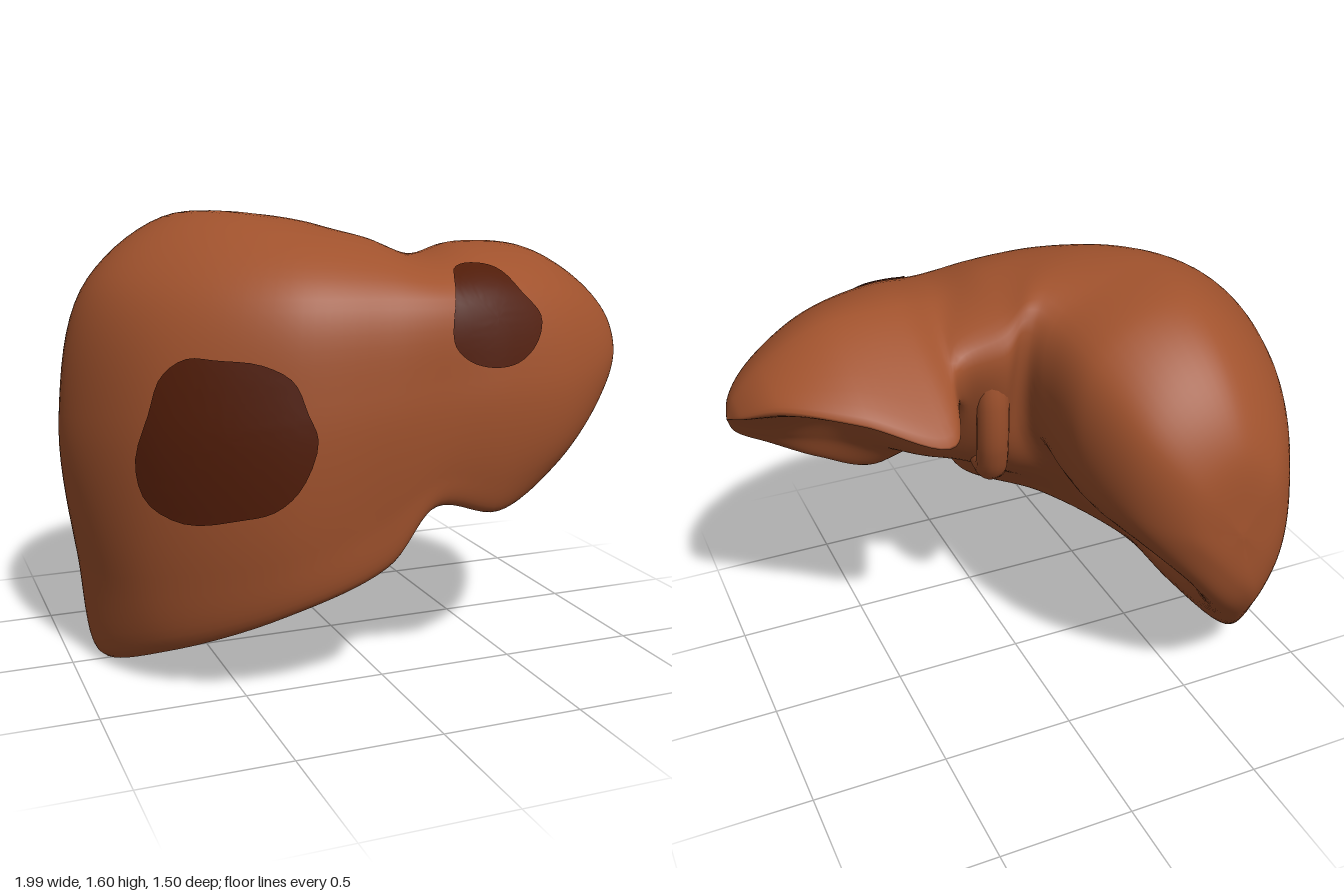
import * as THREE from 'three';
import { mergeVertices } from 'three/addons/utils/BufferGeometryUtils.js';

const AROUND = 80, ALONG = 110;
const V = (x, y, z) => new THREE.Vector3(x, y, z);

// Guide rails running from the thick rear lobe, round the front, to the thin lobe tip
const lowerMargin = [[-.69, .37, -.58], [-.83, .07, -.29], [-.88, .01, -.05], [-.72, .14, .33], [-.4, .31, .6],
  [-.05, .47, .67], [.11, .66, .68], [.37, .61, .64], [.6, .73, .58], [.82, .92, .45]];
const outerLow = [[-.79, .6, -.6], [-.9, .4, -.36], [-.94, .35, -.05], [-.81, .42, .36], [-.43, .52, .66],
  [-.08, .65, .71], [.13, .78, .72], [.36, .75, .71], [.62, .82, .66], [.85, .99, .52]];
const outerMid = [[-.82, .9, -.58], [-.94, .87, -.33], [-.99, .9, -.03], [-.79, .98, .44], [-.42, 1.02, .69],
  [-.08, 1.05, .74], [.14, 1.07, .74], [.36, 1.08, .74], [.64, 1.08, .68], [.87, 1.1, .53]];
const outerHigh = [[-.74, 1.22, -.58], [-.84, 1.32, -.33], [-.87, 1.39, 0], [-.71, 1.39, .34], [-.38, 1.39, .61],
  [-.05, 1.38, .67], [.15, 1.37, .68], [.37, 1.38, .64], [.65, 1.34, .56], [.88, 1.25, .44]];
const crown = [[-.5, 1.42, -.56], [-.5, 1.57, -.33], [-.52, 1.61, -.03], [-.42, 1.6, .18], [-.22, 1.57, .3],
  [0, 1.53, .32], [.17, 1.47, .3], [.37, 1.5, .22], [.64, 1.48, .22], [.87, 1.36, .22]];
const rearEdge = [[-.22, 1.25, -.6], [-.13, 1.4, -.36], [-.09, 1.46, -.13], [-.06, 1.49, -.06], [-.02, 1.49, -.04],
  [.06, 1.42, -.06], [.23, 1.35, -.04], [.34, 1.17, -.27], [.63, 1.27, -.18], [.86, 1.29, -.02]];
const hollowHigh = [[-.2, .92, -.6], [-.13, .9, -.38], [-.14, .87, -.12], [-.08, 1, 0], [-.02, 1.05, .02],
  [.06, 1.05, 0], [.17, 1.12, .02], [.3, 1.19, 0], [.6, 1.25, .08], [.84, 1.2, .12]];
const hollowLow = [[-.42, .62, -.66], [-.52, .52, -.4], [-.6, .5, -.08], [-.42, .6, .1], [-.22, .66, .2],
  [0, .76, .18], [.13, .8, .22], [.27, .83, .28], [.57, 1, .38], [.82, 1.06, .3]];
const shelf = [[-.56, .46, -.64], [-.63, .27, -.35], [-.62, .25, -.06], [-.52, .36, .2], [-.3, .46, .42],
  [-.02, .62, .45], [.12, .74, .45], [.33, .74, .5], [.58, .85, .5], [.82, .98, .38]];
const rails = [lowerMargin, outerLow, outerMid, outerHigh, crown, rearEdge, hollowHigh, hollowLow, shelf];

// Smooth closed cross-section through the rails at one station
function section(i) {
  const c = new THREE.CatmullRomCurve3(rails.map(r => V(...r[i])), true, 'centripetal');
  return Array.from({ length: AROUND }, (_, j) => c.getPoint(j / AROUND));
}

// Rounded end: a shrunken ring pushed towards the pole, plus the pole itself
function cap(ring, pole, axis, shrink, push) {
  const small = ring.map(p => {
    const q = p.clone().lerp(pole, shrink);
    q[axis] = p[axis] + (pole[axis] - p[axis]) * push;
    return q;
  });
  return [small, ring.map(() => pole.clone())];
}

function bodyGeometry() {
  let rings = lowerMargin.map((_, i) => section(i));
  const start = cap(rings[0], V(-.52, .87, -.75), 'z', .42, .8);
  const tip = cap(rings[rings.length - 1], V(1, 1.17, .23), 'x', .56, .76);
  rings = [start[1], start[0], ...rings, ...tip];
  const pos = [], index = [];
  const lines = rings[0].map((_, j) =>
    new THREE.CatmullRomCurve3(rings.map(r => r[j]), false, 'centripetal'));
  for (let i = 0; i <= ALONG; i++) {
    for (let j = 0; j < AROUND; j++) {
      pos.push(...lines[j].getPoint(i / ALONG).toArray());
      if (i === ALONG) continue;
      const a = i * AROUND + j, b = i * AROUND + (j + 1) % AROUND;
      if (i < ALONG - 1) index.push(a + AROUND, b + AROUND, b);
      if (i > 0) index.push(a, a + AROUND, b);
    }
  }
  let g = new THREE.BufferGeometry();
  g.setAttribute('position', new THREE.Float32BufferAttribute(pos, 3));
  g.setIndex(index);
  g = mergeVertices(g, 1e-5);
  g.computeVertexNormals();
  return g;
}

// Thin patch with the given outline, draped over the front of the body
function patchGeometry(outline, body) {
  const loop = new THREE.CatmullRomCurve3(outline.map(([x, y]) => V(x, y, 0)), true);
  const edge = loop.getPoints(48).slice(0, 48), n = edge.length, R = 10;
  const centre = edge.reduce((s, p) => s.add(p), V(0, 0, 0)).divideScalar(n);
  const ray = new THREE.Raycaster(), pos = [], index = [];
  for (let r = 0; r <= R; r++) {
    for (let k = 0; k < n; k++) {
      const p = centre.clone().lerp(edge[k], r / R);
      ray.set(V(p.x, p.y, 5), V(0, 0, -1));
      const hit = ray.intersectObject(body)[0];
      p.copy(hit.point).addScaledVector(hit.face.normal, .005);
      pos.push(p.x, p.y, p.z);
      if (r === R) continue;
      const a = r * n + k, b = r * n + (k + 1) % n;
      if (r > 0) index.push(a, a + n, b);
      index.push(a + n, b + n, b);
    }
  }
  const g = new THREE.BufferGeometry();
  g.setAttribute('position', new THREE.Float32BufferAttribute(pos, 3));
  g.setIndex(index);
  g.computeVertexNormals();
  return g;
}

export function createModel() {
  const group = new THREE.Group();
  const tissue = new THREE.MeshStandardMaterial({ color: 0xa0522d });
  tissue.name = 'tissueBrown';
  const dark = new THREE.MeshStandardMaterial({ color: 0x501c08, side: THREE.DoubleSide });
  dark.name = 'lesionDarkBrown';
  const add = (name, geometry, material) => {
    const m = new THREE.Mesh(geometry, material);
    m.name = name;
    group.add(m);
    return m;
  };

  // Both lobes as one smooth body
  const body = add('lobes', bodyGeometry(), tissue);

  // Dark patches on the front
  add('largePatch', patchGeometry([[-.68, 1.18], [-.75, 1.12], [-.79, 1], [-.83, .83], [-.8, .7], [-.7, .645],
    [-.55, .67], [-.45, .7], [-.37, .78], [-.32, .93], [-.35, 1.02], [-.39, 1.12], [-.48, 1.17], [-.6, 1.18]], body), dark);
  add('smallPatch', patchGeometry([[.29, 1.45], [.21, 1.43], [.16, 1.35], [.14, 1.22], [.19, 1.16], [.28, 1.13],
    [.38, 1.14], [.46, 1.2], [.49, 1.28], [.43, 1.36], [.38, 1.43]], body), dark);

  // Ridge between the lobes at the back, with a small nodule at its foot
  const path = new THREE.CatmullRomCurve3([V(.09, 1.34, .02), V(.09, 1.15, 0), V(.08, .95, .03), V(.06, .83, .1), V(.04, .82, .24)]);
  add('rearRidge', new THREE.TubeGeometry(path, 28, .06, 16), tissue);
  const nodule = add('rearNodule', new THREE.SphereGeometry(.06, 20, 14), tissue);
  nodule.position.set(.02, .76, .2);
  nodule.scale.set(1, .7, 1.3);
  return group;
}
